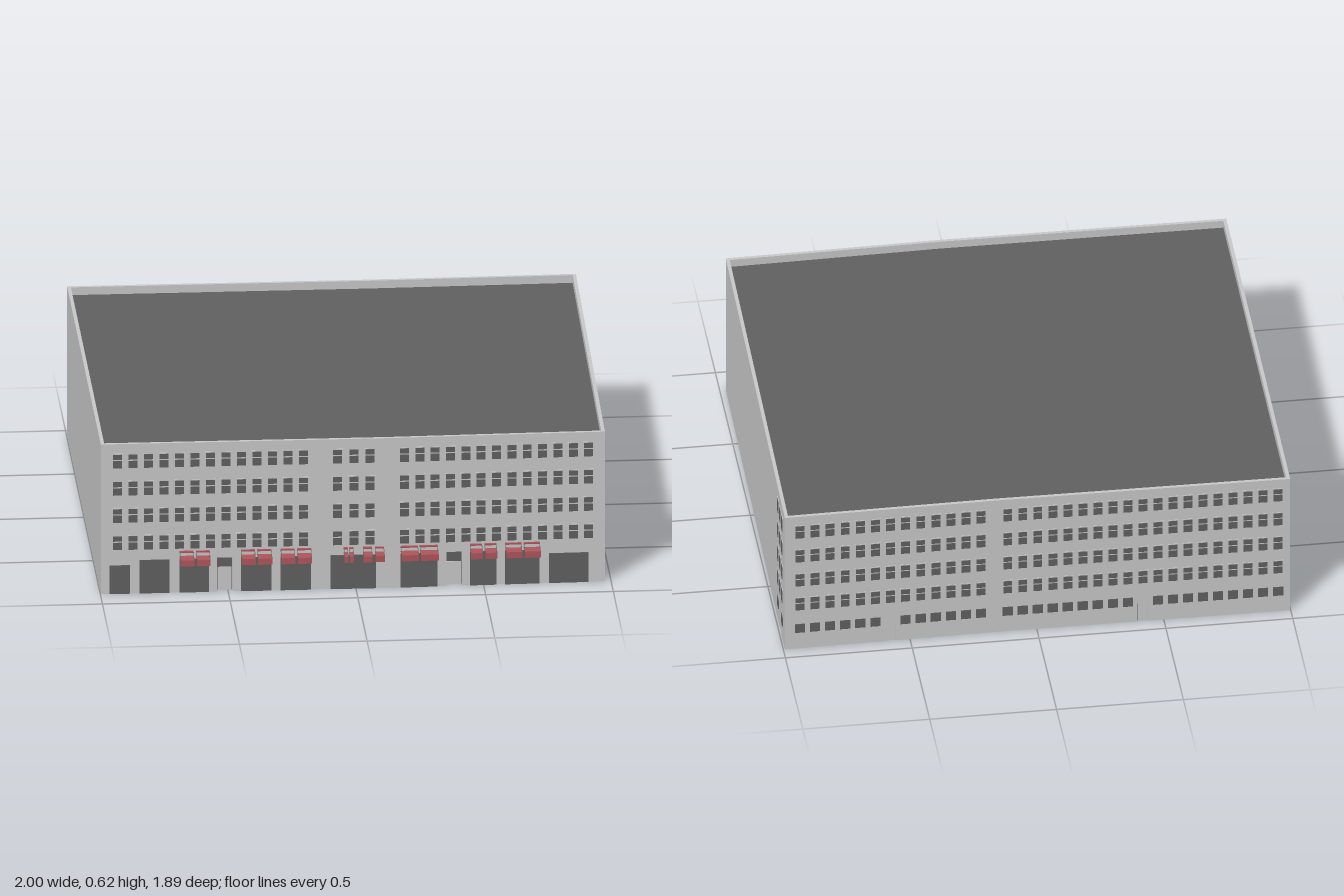
import * as THREE from 'three';
import { mergeGeometries } from 'three/addons/utils/BufferGeometryUtils.js';

const ROOF_Y = 0.588, TOP_Y = 0.62, RIM = 0.014;
const ROWS = [0.21, 0.323, 0.436, 0.549]; // window centres on the upper floors

function material(name, color, side = THREE.FrontSide) {
  const m = new THREE.MeshStandardMaterial({ color, side });
  m.name = name;
  return m;
}

const range = (n, from, to) => Array.from({ length: n }, (_, i) => from + (to - from) * i / (n - 1));

// Box given by its centre x, bottom y, size and z span
function block(x, y, w, h, z0, z1) {
  return new THREE.BoxGeometry(w, h, z1 - z0).translate(x, y + h / 2, (z0 + z1) / 2);
}

export function createModel() {
  const group = new THREE.Group();
  group.name = 'officeBuilding';
  const plaster = material('plaster', 0xcacaca, THREE.DoubleSide);
  const dark = material('darkGlassAndRoof', 0x616161);
  const red = material('redAwning', 0xb0565c);

  function add(parent, name, geos, mat) {
    if (!geos.length) return;
    const mesh = new THREE.Mesh(geos.length > 1 ? mergeGeometries(geos) : geos[0], mat);
    mesh.name = name;
    parent.add(mesh);
  }

  // Slightly irregular footprint [x, z], anticlockwise from the front left of the facade
  const foot = [[-0.998, 0.884], [0.13, 0.891], [0.976, 0.877], [0.994, -0.942], [0.165, -0.934], [-0.998, -0.942]];

  // One wall plane between two corners, with doorways, windows, shopfronts and awnings.
  // Detail positions run along the wall from its first corner.
  function wall(name, i, { doors = [], windows = [], lowWindows = [], shops = [], awnings = [] } = {}) {
    const [px, pz] = foot[i], [qx, qz] = foot[(i + 1) % foot.length];
    const len = Math.hypot(qx - px, qz - pz);
    const g = new THREE.Group();
    g.name = name;
    g.position.set(px, 0, pz);
    g.rotation.y = Math.atan2(pz - qz, qx - px);
    group.add(g);

    // Wall outline, notched at the doorways
    const s = new THREE.Shape();
    s.moveTo(0, ROOF_Y);
    s.lineTo(0, 0);
    for (const d of doors) {
      s.lineTo(d.x - d.w / 2, 0);
      s.lineTo(d.x - d.w / 2, d.h);
      s.lineTo(d.x + d.w / 2, d.h);
      s.lineTo(d.x + d.w / 2, 0);
    }
    s.lineTo(len, 0);
    s.lineTo(len, ROOF_Y);
    add(g, 'wallFace', [new THREE.ShapeGeometry(s)], plaster);

    // Recessed doorways: jambs, ceiling, door leaf and a dark panel behind and above it
    const niche = [], panels = [];
    for (const { x, w, h, depth, leaf } of doors) {
      for (const k of [-1, 1]) niche.push(block(x + k * (w / 2 + 0.001), 0, 0.002, h, -depth, -0.001));
      niche.push(block(x, h, w, 0.002, -depth, -0.001));
      niche.push(block(x, 0, w - 0.004, leaf, -depth, -depth + 0.004));
      panels.push(block(x, 0, w, h, -depth - 0.003, -depth + 0.001));
    }
    add(g, 'doorway', niche, plaster);
    add(g, 'doorPanel', panels, dark);

    // Windows: pale frame with a short upper and a taller lower pane
    const frames = [], panes = [];
    for (const x of windows) for (const y of ROWS) {
      frames.push(block(x, y - 0.032, 0.044, 0.064, 0.001, 0.003));
      panes.push(block(x, y - 0.028, 0.035, 0.03, 0.002, 0.0045));
      panes.push(block(x, y + 0.007, 0.035, 0.021, 0.002, 0.0045));
    }
    for (const x of lowWindows) panes.push(block(x, 0.076, 0.04, 0.04, 0.002, 0.0045));
    add(g, 'windowFrames', frames, plaster);
    add(g, 'windowPanes', panes, dark);

    add(g, 'shopfronts', shops.map(([a, b, h]) => block((a + b) / 2, 0, b - a, h, 0.002, 0.005)), dark);

    // Awnings: wall rail, flat canopy with a hanging valance, and tie rods at both ends
    const cloth = [], rods = [];
    for (const [a, b] of awnings) {
      const x = (a + b) / 2, w = b - a;
      cloth.push(block(x, 0.166, w, 0.006, 0.001, 0.01));
      cloth.push(block(x, 0.148, w, 0.003, 0.001, 0.055));
      cloth.push(block(x, 0.126, w, 0.022, 0.052, 0.055));
      for (const end of [a + 0.001, b - 0.001]) {
        rods.push(new THREE.BoxGeometry(0.002, 0.002, 0.05).rotateX(0.36).translate(end, 0.16, 0.029));
      }
    }
    add(g, 'awnings', cloth, red);
    add(g, 'awningRods', rods, dark);
  }

  // Street front, in two slightly angled halves
  const fl = x => x - foot[0][0], fr = x => x - foot[1][0];
  const spans = (list, f) => list.map(([a, b, ...rest]) => [f(a), f(b), ...rest]);
  const entrance = x => ({ x, w: 0.06, h: 0.14, depth: 0.02, leaf: 0.095 });
  wall('frontWallLeft', 0, {
    doors: [entrance(fl(-0.513))],
    windows: [...range(13, -0.933, -0.206), -0.072, -0.008, 0.056].map(fl),
    shops: spans([[-0.965, -0.885, 0.118], [-0.847, -0.73, 0.138], [-0.69, -0.575, 0.14],
      [-0.45, -0.33, 0.14], [-0.295, -0.175, 0.14], [-0.1, 0.078, 0.14]], fl),
    awnings: spans([[-0.69, -0.635], [-0.626, -0.572], [-0.45, -0.395], [-0.386, -0.33], [-0.295, -0.24],
      [-0.23, -0.175], [-0.048, -0.032], [-0.027, -0.01], [0.027, 0.062], [0.074, 0.11]], fl),
  });
  wall('frontWallRight', 1, {
    doors: [entrance(fr(0.385))],
    windows: range(13, 0.19, 0.912).map(fr),
    shops: spans([[0.175, 0.32, 0.14], [0.447, 0.55, 0.14], [0.585, 0.72, 0.14], [0.757, 0.912, 0.123]], fr),
    awnings: spans([[0.175, 0.243], [0.25, 0.32], [0.447, 0.494], [0.503, 0.55], [0.585, 0.648], [0.657, 0.72]], fr),
  });

  // Side wall with three window columns near the back
  const backDoor = x => ({ x, w: 0.04, h: 0.085, depth: 0.008, leaf: 0.083 });
  const side = z => foot[2][1] - z;
  wall('sideWallWithWindows', 2, {
    doors: [backDoor(side(-0.814))],
    windows: [-0.75, -0.814, -0.873].map(side),
    lowWindows: [-0.75, -0.873].map(side),
  });

  // Back, in two halves, each with a door in the ground-floor window row
  const backLeft = range(13, 0.935, 0.22).map(x => foot[3][0] - x);
  const backRight = range(19, 0.115, -0.95).map(x => foot[4][0] - x);
  wall('backWallLeft', 3, {
    doors: [backDoor(backLeft[6])], windows: backLeft, lowWindows: backLeft.filter((_, i) => i !== 6),
  });
  wall('backWallRight', 4, {
    doors: [backDoor(backRight[9])], windows: backRight, lowWindows: backRight.filter((_, i) => i !== 9),
  });
  wall('blankSideWall', 5);

  // Flat roof, the pale ceiling under it and the parapet around it
  const outline = foot.map(([x, z]) => new THREE.Vector2(x, -z));
  const inner = foot.map(([x, z]) => new THREE.Vector2(
    x - (Math.abs(x) > 0.5 ? Math.sign(x) * RIM : 0), -z + Math.sign(z) * RIM));
  const slab = y => new THREE.ShapeGeometry(new THREE.Shape(outline)).rotateX(-Math.PI / 2).translate(0, y, 0);
  add(group, 'roof', [slab(ROOF_Y)], dark);
  add(group, 'ceiling', [slab(ROOF_Y - 0.003)], plaster);
  const rim = new THREE.Shape(outline);
  rim.holes.push(new THREE.Path(inner));
  add(group, 'parapet', [new THREE.ExtrudeGeometry(rim, { depth: TOP_Y - ROOF_Y, bevelEnabled: false })
    .rotateX(-Math.PI / 2).translate(0, ROOF_Y, 0)], plaster);

  return group;
}
